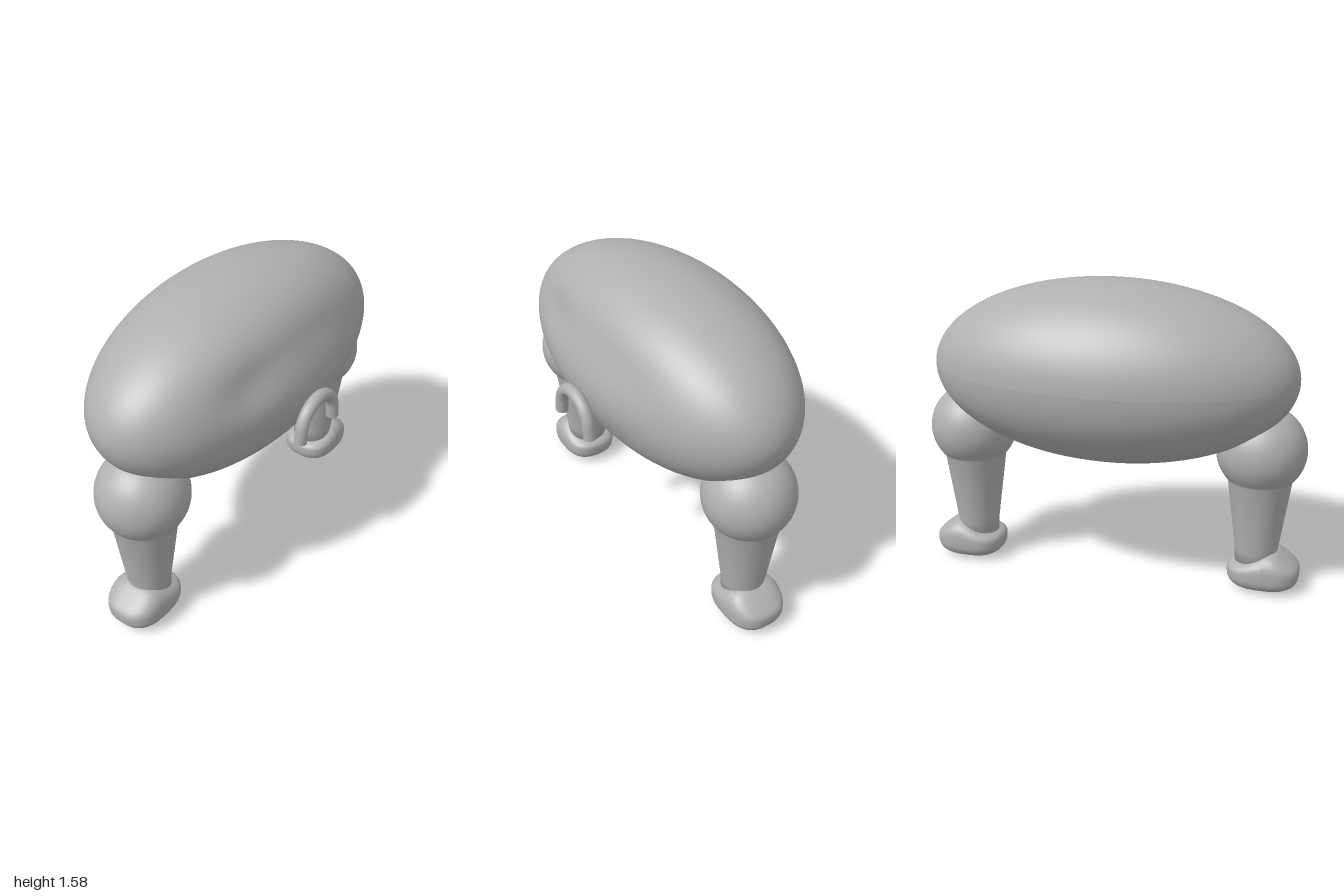
import * as THREE from 'three';

const gray = new THREE.MeshStandardMaterial({ color: 0xb0b0b0 });
gray.name = 'plain gray';

function part(name, geometry, parent) {
  const mesh = new THREE.Mesh(geometry, gray);
  mesh.name = name;
  parent.add(mesh);
  return mesh;
}

// Move every vertex by a rule, then refresh the normals
function reshape(geometry, rule) {
  const pos = geometry.attributes.position;
  const v = new THREE.Vector3();
  for (let i = 0; i < pos.count; i++) {
    rule(v.fromBufferAttribute(pos, i));
    pos.setXYZ(i, v.x, v.y, v.z);
  }
  geometry.computeVertexNormals();
  return geometry;
}

const bump = (d, width) => Math.exp(-((d / width) ** 2));

// Long egg-shaped body, flattened and slightly dented on its left side
function bodyGeometry() {
  const g = new THREE.SphereGeometry(1, 64, 48);
  g.rotateX(Math.PI / 2); // poles at the two ends
  return reshape(g, (v) => {
    v.set(v.x * 0.515, 1.122 + v.y * 0.4625, v.z * 0.94);
    if (v.x > 0) {
      const side = Math.min(1, v.x / 0.45);
      const press = 0.055 * side * side
        + 0.025 * side * bump(v.y - 1.3, 0.14) * bump(v.z, 0.6)
        + 0.025 * side * bump(v.y - 1.28, 0.1) * bump(v.z - 0.4, 0.18);
      v.x -= press;
    }
  });
}

// Ball hip flowing into a tapered shin
function legGeometry() {
  const profile = [[0, 0.12], [0.108, 0.12], [0.111, 0.22], [0.137, 0.41], [0.163, 0.6]]
    .map(([r, y]) => new THREE.Vector2(r, y));
  const start = Math.asin(-0.16 / 0.228);
  for (let i = 1; i <= 20; i++) {
    const a = start + (Math.PI / 2 - start) * (i / 20);
    profile.push(new THREE.Vector2(Math.max(0, 0.228 * Math.cos(a)), 0.76 + 0.228 * Math.sin(a)));
  }
  return new THREE.LatheGeometry(profile, 40);
}

// Blocky rounded foot, higher over the instep and low at the heel
function footGeometry() {
  const soft = (n, p) => Math.sign(n) * Math.abs(n) ** p;
  return reshape(new THREE.SphereGeometry(1, 40, 28), (v) => {
    const z = soft(v.z, 0.75);
    const top = 0.055 + 0.065 * bump(z - 0.2, 0.55);
    const y = soft(v.y, 0.7);
    v.set(soft(v.x, 0.75) * 0.15, 0.105 + y * (y > 0 ? top : 0.1), 0.042 + z * 0.187);
  });
}

export function createModel() {
  const model = new THREE.Group();
  model.name = 'stool';
  part('body', bodyGeometry(), model);

  // Front and back legs, feet pointing outwards
  const leg = legGeometry();
  const foot = footGeometry();
  for (const [name, x, z, turn] of [['front', 0.028, 0.768, 0], ['back', -0.005, -0.768, Math.PI]]) {
    const group = new THREE.Group();
    group.name = name + 'Leg';
    group.position.set(x, 0, z);
    group.rotation.y = turn;
    part(name + 'Shin', leg, group);
    part(name + 'Foot', foot, group);
    model.add(group);
  }

  // Arched handle on the left side
  const points = [new THREE.Vector3(0.483, 0.87, 0.142)];
  for (let i = 0; i <= 12; i++) {
    const a = (i / 12) * Math.PI;
    points.push(new THREE.Vector3(0.483, 0.916 + 0.137 * Math.sin(a), 0.137 * Math.cos(a)));
  }
  points.push(new THREE.Vector3(0.483, 0.87, -0.142));
  const arch = new THREE.CatmullRomCurve3(points);
  const handle = new THREE.Group();
  handle.name = 'handle';
  part('handleArch', new THREE.TubeGeometry(arch, 48, 0.032, 16), handle);
  for (const s of [1, -1]) {
    const cap = part('handleEnd', new THREE.CircleGeometry(0.032, 16), handle);
    cap.rotation.x = Math.PI / 2;
    cap.position.set(0.483, 0.87, s * 0.142);
  }
  model.add(handle);
  return model;
}
